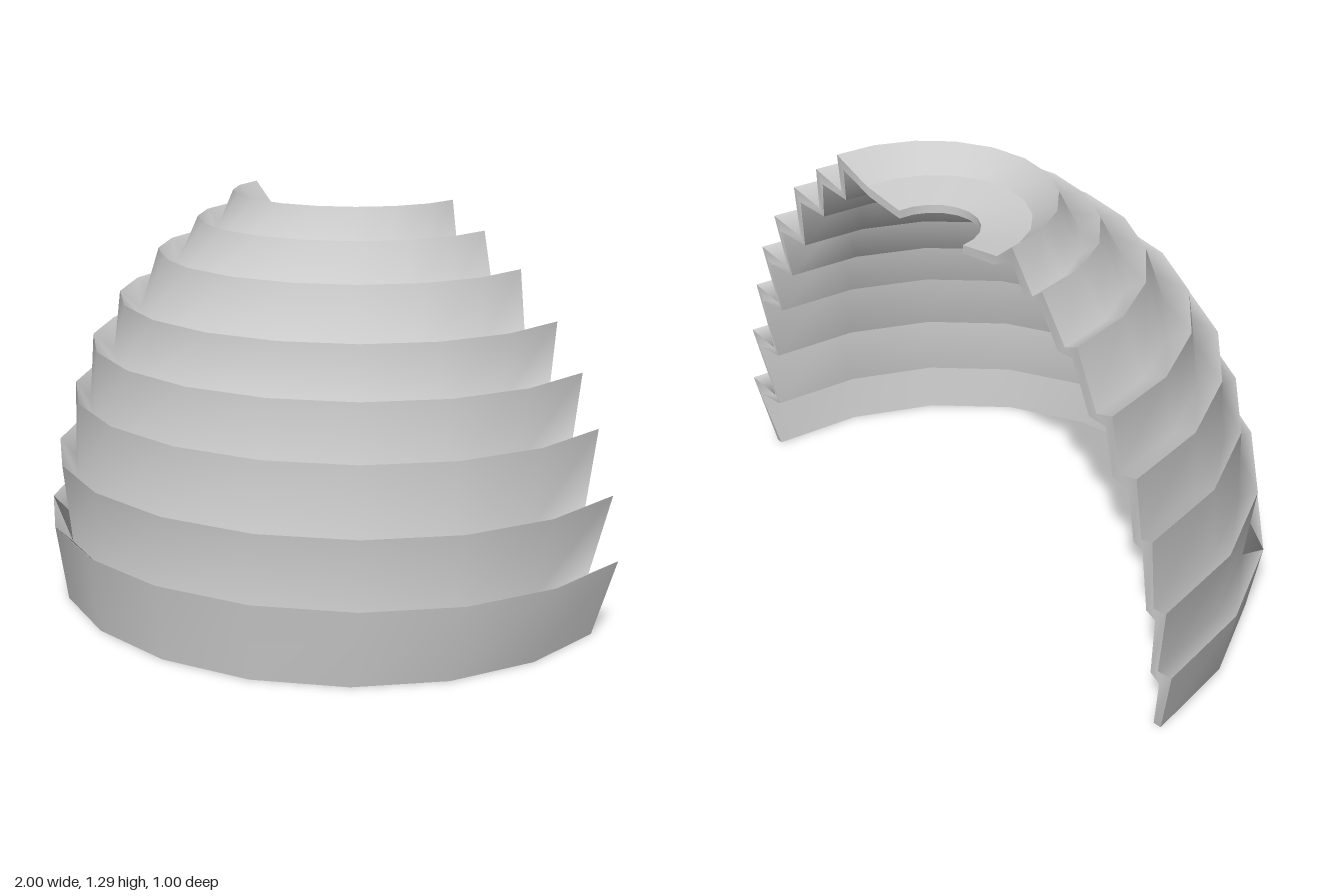
import * as THREE from 'three';

const SEGMENTS = 10; // facets around the half circle

// Point of a profile [radius, height, centre z] at angle step j
function pointAt([r, y, cz], j) {
  const a = (Math.PI * j) / SEGMENTS;
  return [r * Math.cos(a), y, cz + r * Math.sin(a)];
}

function toGeometry(positions, index) {
  const geometry = new THREE.BufferGeometry();
  geometry.setAttribute('position', new THREE.Float32BufferAttribute(positions, 3));
  geometry.setIndex(index);
  geometry.computeVertexNormals();
  return geometry;
}

// Sweeps a short profile round the half circle with smooth normals
function sweep(profile) {
  const positions = [], index = [];
  const row = SEGMENTS + 1;
  profile.forEach((p, i) => {
    for (let j = 0; j <= SEGMENTS; j++) {
      positions.push(...pointAt(p, j));
      if (i < profile.length - 1 && j < SEGMENTS) {
        const a = i * row + j, b = a + 1, c = a + row, d = c + 1;
        index.push(a, c, b, b, c, d);
      }
    }
  });
  return toGeometry(positions, index);
}

// Zigzag cut face between the outer and inner profiles
function cutFace(outer, inner, j) {
  const positions = [], index = [];
  outer.forEach((p, i) => {
    positions.push(...pointAt(p, j), ...pointAt(inner[i], j));
    if (i === outer.length - 1) return;
    const a = 2 * i, b = a + 1, c = a + 2, d = a + 3;
    if (j === 0) index.push(a, b, c, b, d, c);
    else index.push(a, c, b, b, c, d);
  });
  return toGeometry(positions, index);
}

export function createModel() {
  const group = new THREE.Group();
  const material = new THREE.MeshStandardMaterial({ color: 0xcccccc, side: THREE.DoubleSide });
  const add = (geometry, name) => {
    const mesh = new THREE.Mesh(geometry, material);
    mesh.name = name;
    group.add(mesh);
  };

  // Each tier: foot radius, foot height, lip radius, lip height
  const tiers = [
    [0.94, 0, 1.0, 0.245],
    [0.92, 0.195, 0.97, 0.45],
    [0.895, 0.4, 0.91, 0.65],
    [0.84, 0.6, 0.847, 0.815],
    [0.757, 0.765, 0.755, 0.96],
    [0.665, 0.91, 0.625, 1.105],
    [0.545, 1.055, 0.495, 1.21],
    [0.42, 1.155, 0.38, 1.295],
  ];
  const outer = [], inner = [];
  tiers.forEach(([r0, y0, r1, y1], i) => {
    const lean = i / 7;
    outer.push([r0, y0, -0.465], [r1, y1, -0.497]);
    inner.push(
      [r0 - 0.025, i ? y0 - 0.02 : 0, -0.467],
      [r1 - 0.04 + 0.025 * lean, y1 - 0.045, -0.501 + 0.012 * lean],
    );
  });
  // Sunken crown floor with a round opening
  outer.push([0.285, 1.22, -0.468], [0.14, 1.195, -0.465]);
  inner.push([0.275, 1.19, -0.468], [0.14, 1.17, -0.465]);

  // Tiers, split at the lips so that the lips stay sharp
  tiers.forEach((_, i) => {
    const start = i ? 2 * i - 1 : 0;
    add(sweep(outer.slice(start, 2 * i + 2)), `outerTier${i + 1}`);
    add(sweep(inner.slice(start, 2 * i + 2).reverse()), `innerTier${i + 1}`);
  });

  // Crown recess
  const n = outer.length;
  add(sweep(outer.slice(n - 3, n - 1)), 'crownSlope');
  add(sweep(outer.slice(n - 2)), 'crownFloor');
  add(sweep(inner.slice(n - 3).reverse()), 'crownUnderside');

  // Thin rims at the opening and the foot
  add(sweep([outer[n - 1], inner[n - 1]]), 'openingRim');
  add(sweep([inner[0], outer[0]]), 'footRim');

  // Two cut ends of the shell
  add(cutFace(outer, inner, 0), 'leftCutFace');
  add(cutFace(outer, inner, SEGMENTS), 'rightCutFace');

  return group;
}
